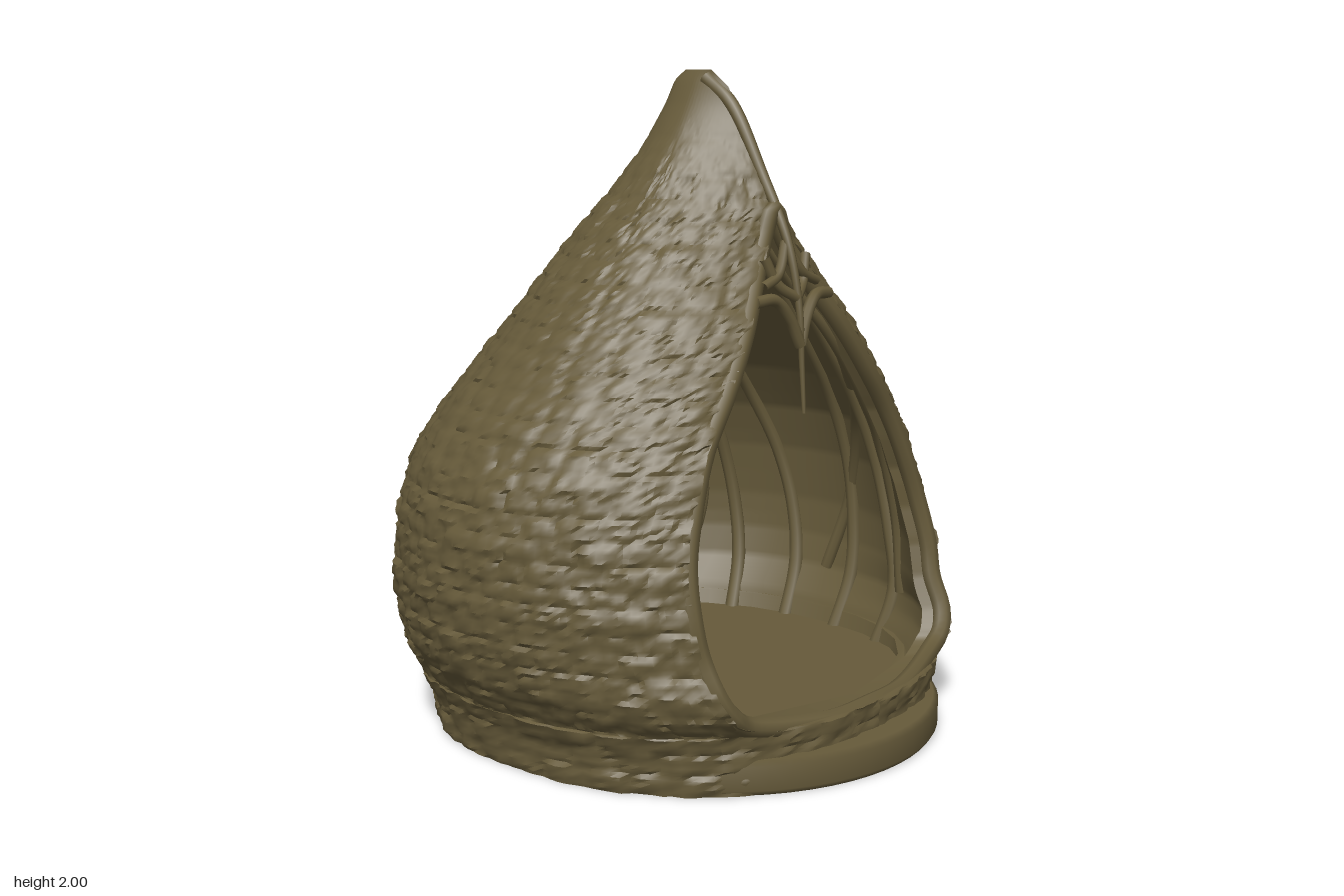
import * as THREE from 'three';
import { toCreasedNormals } from 'three/addons/utils/BufferGeometryUtils.js';

// Profiles as [height, value] pairs
const WIDTH = [[0, .75], [.1, .76], [.2, .80], [.3, .86], [.4, .885], [.52, .893], [.7, .875], [.85, .83], [1, .74],
  [1.2, .585], [1.4, .43], [1.6, .26], [1.8, .115], [1.9, .055], [1.97, .02], [2, 0]];
const BACK = [[0, -.75], [.1, -.78], [.2, -.82], [.45, -.867], [.6, -.853], [.75, -.82], [.9, -.75], [1.1, -.6],
  [1.45, -.34], [1.75, -.1], [1.9, -.02], [1.97, .01], [2, .05]];
const FRONT = [[0, .79], [.18, .79], [.24, .85], [.3, .87], [.5, .82], [.75, .72], [1, .64], [1.2, .57], [1.4, .48],
  [1.55, .42], [1.7, .35], [1.85, .27], [1.95, .215], [2, .15]];
const CENTRE = [[0, 0], [1, 0], [1.4, .05], [1.7, .09], [2, .1]];
const OPENING = [[.18, .42], [.22, .51], [.3, .575], [.4, .605], [.5, .615], [.62, .605], [.75, .57], [.95, .47],
  [1.2, .285], [1.35, .165], [1.5, .06], [1.6, 0]];
const WINDOW = [[.13, 0], [.2, .045], [.3, .1], [.4, .142], [.48, .155], [.56, .15], [.65, .125], [.75, .08],
  [.85, .037], [.95, 0]];
const SILL = .18, ARCH = 1.6, SIDE = 2.3, WALL = .09;

function at(table, y) {
  if (y <= table[0][0]) return table[0][1];
  for (let i = 1; i < table.length; i++) {
    const [y0, v0] = table[i - 1], [y1, v1] = table[i];
    if (y <= y1) return v0 + (v1 - v0) * (y - y0) / (y1 - y0);
  }
  return table[table.length - 1][1];
}

// Point on the shell: round behind, drawn to a ridge in front near the top, full at the front foot
function shell(a, y, inset = 0) {
  const w = at(WIDTH, y), zc = at(CENTRE, y), s = Math.sin(a), c = Math.cos(a);
  const shrink = (r) => Math.max(r * .3, r - inset);
  if (c <= 0) return new THREE.Vector3(shrink(w) * s, y, zc + shrink(zc - at(BACK, y)) * c);
  const k = .6 * THREE.MathUtils.smoothstep(y, 1.15, 1.8);
  const foot = 1 + .06 * Math.sin(2 * a) ** 2 * (1 - THREE.MathUtils.smoothstep(y, .2, .4));
  const z = zc + shrink(at(FRONT, y) - zc) * (c * (1 - k) + (1 - Math.abs(s)) * k) * foot;
  return new THREE.Vector3(shrink(w) * s * foot, y, z);
}

const openAngle = (y) => (y <= SILL || y >= ARCH ? 0 : Math.asin(Math.min(1, at(OPENING, y) / at(WIDTH, y))));
const backWindow = (y) => at(WINDOW, y);
const sideWindow = (y) => .85 * at(WINDOW, .95 - (.95 - y) * 1.08);

const hash = (a, b) => {
  const v = Math.sin(a * 127.1 + b * 311.7) * 43758.5453;
  return v - Math.floor(v);
};

// Uneven courses of bricks, fading out towards the tip
function brick(a, y) {
  const row = Math.floor(y / .06), count = Math.max(6, Math.round(at(WIDTH, row * .06 + .03) * 2 * Math.PI / .13));
  const u = ((a / (2 * Math.PI)) * count + (row % 2) * .5 + count) % count, v = y / .06 - row;
  const edge = Math.min(u % 1, 1 - (u % 1)) < .14 || v < .2 ? .006 : 0;
  const rough = (hash(Math.round(a * 30), Math.round(y * 80)) - .5) * .008;
  return ((hash(row, Math.floor(u)) - .5) * .011 + rough - edge + .002) * (1 - THREE.MathUtils.smoothstep(y, 1.55, 1.9));
}

// Thick wall strip between two angles that vary with height
function wallStrip(from, to, outer) {
  const ys = [SILL, SILL + .0001];
  for (let i = 0; i <= 160; i++) ys.push(i / 80);
  ys.sort((p, q) => p - q);
  const inner = 10, ring = outer + inner + 2, pos = [], index = [];
  ys.forEach((y, i) => {
    const a = from(y), b = to(y);
    for (let j = 0; j <= outer; j++) {
      const t = a + (b - a) * j / outer;
      pos.push(...shell(t, y, -brick(t, y)).toArray());
    }
    for (let j = inner; j >= 0; j--) pos.push(...shell(a + (b - a) * j / inner, y, WALL).toArray());
    if (!i) return;
    for (let j = 0; j < ring; j++) {
      const p = (i - 1) * ring + j, q = (i - 1) * ring + (j + 1) % ring;
      index.push(p, q, q + ring, p, q + ring, p + ring);
    }
  });
  const g = new THREE.BufferGeometry();
  g.setAttribute('position', new THREE.Float32BufferAttribute(pos, 3));
  g.setIndex(index);
  return toCreasedNormals(g, .8);
}

// Tube that can narrow towards its end
function branch(points, radius, endScale = 1, closed = false) {
  const curve = new THREE.CatmullRomCurve3(points, closed, 'centripetal'), n = points.length * 6, sides = 8;
  const g = new THREE.TubeGeometry(curve, n, radius, sides, closed), p = g.attributes.position, v = new THREE.Vector3();
  for (let i = 0; i <= n && endScale !== 1; i++) {
    const c = curve.getPointAt(i / n), s = 1 + (endScale - 1) * i / n;
    for (let j = 0; j <= sides; j++) {
      const id = i * (sides + 1) + j;
      v.fromBufferAttribute(p, id).sub(c).multiplyScalar(s).add(c);
      p.setXYZ(id, v.x, v.y, v.z);
    }
  }
  return g;
}

export function createModel() {
  const group = new THREE.Group();
  const clay = new THREE.MeshStandardMaterial({ color: 0x665a3a });
  clay.name = 'brown clay';
  const add = (name, geometry) => {
    const m = new THREE.Mesh(geometry, clay);
    m.name = name;
    group.add(m);
    return m;
  };
  const V = (x, y, z) => new THREE.Vector3(x, y, z);
  const TAU = Math.PI * 2;

  // Brick shell, split at the doorway and the three windows
  add('leftWall', wallStrip(openAngle, (y) => SIDE - sideWindow(y), 64));
  add('leftBackWall', wallStrip((y) => SIDE + sideWindow(y), (y) => Math.PI - backWindow(y), 28));
  add('rightBackWall', wallStrip((y) => Math.PI + backWindow(y), (y) => TAU - SIDE - sideWindow(y), 28));
  add('rightWall', wallStrip((y) => TAU - SIDE + sideWindow(y), (y) => TAU - openAngle(y), 64));

  // Floor and rounded front step
  const floor = add('floor', new THREE.CylinderGeometry(.735, .735, .13, 64));
  floor.scale.z = 1.03;
  floor.position.set(0, .066, .015);
  const step = add('frontStep', new THREE.LatheGeometry(
    [[0, 0], [.68, 0], [.69, .015], [.69, .085], [.675, .1], [0, .1]].map(([r, y]) => new THREE.Vector2(r, y)), 64));
  step.position.z = .18;

  // Rim around the doorway
  const half = [.2, .24, .3, .4, .5, .65, .8, .95, 1.1, 1.25, 1.38, 1.5].map((y) => shell(openAngle(y), y, .03));
  const sill = shell(.25, SILL - .02, .035);
  const flip = (p) => V(-p.x, p.y, p.z);
  add('doorRim', branch([V(0, SILL - .02, .755), sill, ...half, V(0, 1.6, .385),
    ...half.map(flip).reverse(), flip(sill)], .03, 1, true));

  // Ridge running down from the tip into a hanging point
  add('ridge', branch([V(0, 1.975, .13), V(0, 1.9, .225), V(0, 1.7, .34), V(0, 1.5, .44), V(0, 1.3, .485),
    V(0, 1.15, .495), V(0, 1, .505)], .024, .25));

  for (const s of [1, -1]) {
    const side = s > 0 ? 'left' : 'right';
    // Lattice under the arch
    add(side + 'LowerBrace', branch([V(s * .18, 1.34, .46), V(s * .1, 1.34, .47), V(s * .04, 1.28, .48), V(0, 1.2, .49)], .018));
    add(side + 'UpperBrace', branch([V(s * .1, 1.46, .43), V(s * .06, 1.38, .45), V(0, 1.34, .475)], .016));
    add(side + 'CrossBrace', branch([V(s * .13, 1.38, .45), V(s * .06, 1.41, .45), V(0, 1.5, .43)], .015));

    // Ribs up the inner wall, those behind gathering towards the middle
    for (const a of [1.05, 1.35, 1.65, 1.95, 2.6, 2.82]) {
      const pts = [.08, .3, .5, .7, .9, 1.1, 1.3, 1.5, 1.65].map((y) => {
        const gather = a > 1.5 ? .6 * ((y - .08) / 1.57) ** 2 : 0;
        const p = shell(a + (Math.PI - a) * gather, y, WALL + .005);
        p.x *= s;
        return p;
      });
      add(side + 'Rib', branch(pts, .026, .6));
    }
    // Ribs curving from the wall to the arch
    for (const [a, b] of [[1.0, .8], [1.5, 1.0]]) {
      const pts = [.3, .55, .8, 1, 1.2, 1.34].map((y, i) => {
        const p = shell(a + (b - a) * i / 5 - .02 * i * i, y, WALL);
        p.x *= s;
        return p;
      });
      add(side + 'ArchRib', branch(pts, .022, .7));
    }
  }

  // Frames on the inner edge of each window
  for (const [c, width] of [[SIDE, sideWindow], [Math.PI, backWindow], [TAU - SIDE, sideWindow]]) {
    for (const s of [1, -1]) {
      const pts = [.12, .22, .35, .5, .6, .75, .85, .95, 1.15, 1.4]
        .map((y) => shell(c + s * (width(y) + .025), y, WALL));
      add('windowFrame', branch(pts, .022, .6));
    }
  }
  return group;
}
